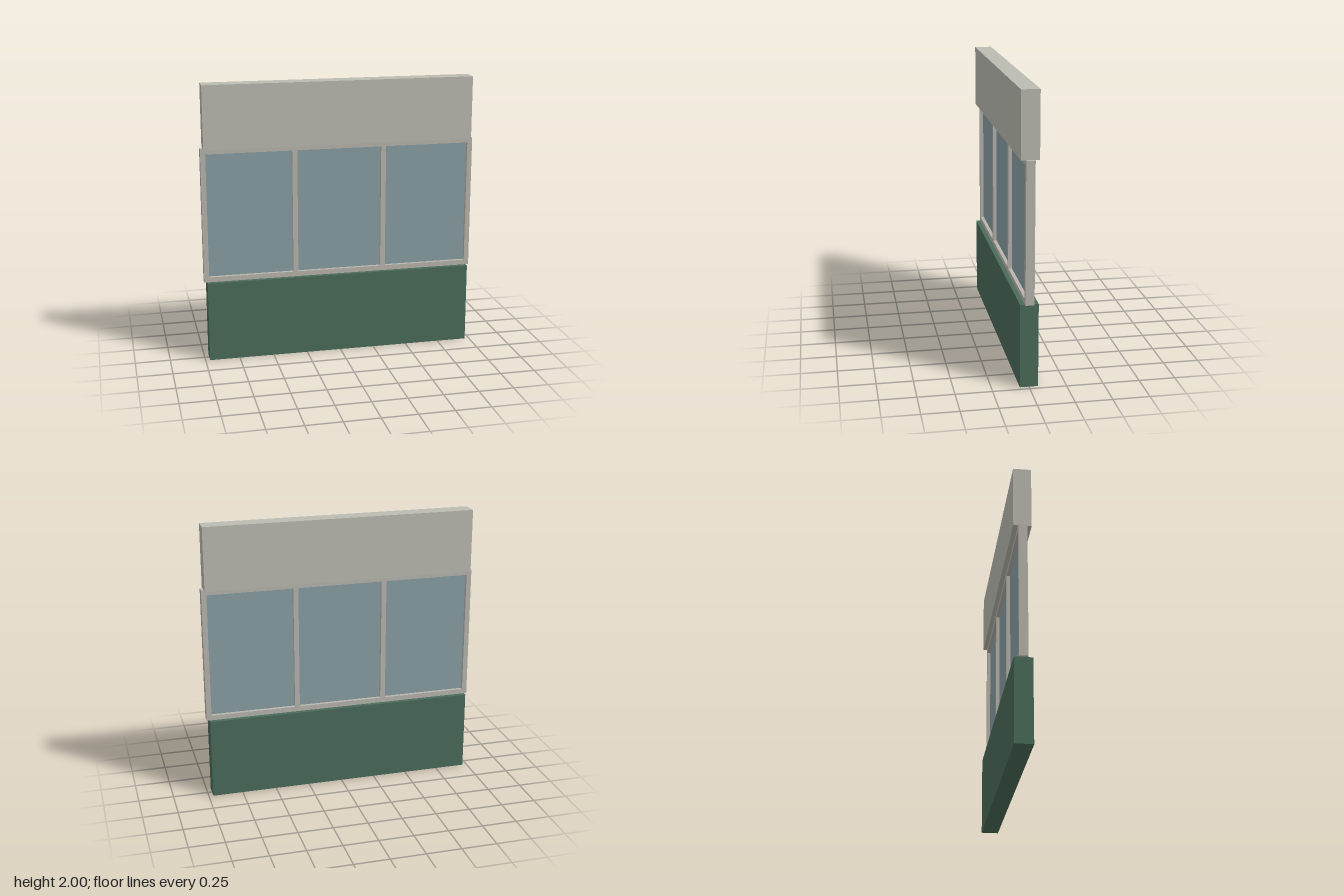
import * as THREE from 'three';

export function createModel() {
  const group = new THREE.Group();
  const material = (name, color) => {
    const m = new THREE.MeshStandardMaterial({ color });
    m.name = name;
    return m;
  };
  const plaster = material('plaster grey', 0xbbbbb2);
  const trim = material('frame grey', 0xb9b6ae);
  const green = material('panel green', 0x4a6b5a);
  const glass = material('glass blue', 0x8a9fa5);

  const add = (name, geometry, mat, x, y, z) => {
    const mesh = new THREE.Mesh(geometry, mat);
    mesh.name = name;
    mesh.position.set(x, y, z);
    group.add(mesh);
  };

  const sill = 0.583, head = 1.55;            // window bottom and top
  const wallWidth = 1.936, wallDepth = 0.124;
  const halfFrame = 0.988, bar = 0.036, frameDepth = 0.06;

  // Solid wall below and above the window band
  add('lowerPanel', new THREE.BoxGeometry(wallWidth, sill, wallDepth), green, 0, sill / 2, 0);
  add('upperPanel', new THREE.BoxGeometry(wallWidth, 2 - head, wallDepth), plaster, 0, (2 + head) / 2, 0);

  // Rectangle outline, usable as a shape or a hole
  const rect = (path, x0, y0, x1, y1) =>
    path.moveTo(x0, y0).lineTo(x1, y0).lineTo(x1, y1).lineTo(x0, y1).closePath();

  // One frame with three openings, each holding a thin pane
  const outline = rect(new THREE.Shape(), -halfFrame, sill, halfFrame, head);
  const paneWidth = (2 * halfFrame - 4 * bar) / 3;
  const paneHeight = head - sill - 2 * bar;
  for (let i = 0; i < 3; i++) {
    const x = (i - 1) * (paneWidth + bar);
    outline.holes.push(rect(new THREE.Path(),
      x - paneWidth / 2, sill + bar, x + paneWidth / 2, head - bar));
    add('windowPane' + (i + 1), new THREE.BoxGeometry(paneWidth, paneHeight, 0.009),
      glass, x, (sill + head) / 2, 0);
  }
  const frame = new THREE.ExtrudeGeometry(outline, { depth: frameDepth, bevelEnabled: false });
  add('windowFrame', frame, trim, 0, 0, -frameDepth / 2);

  return group;
}
